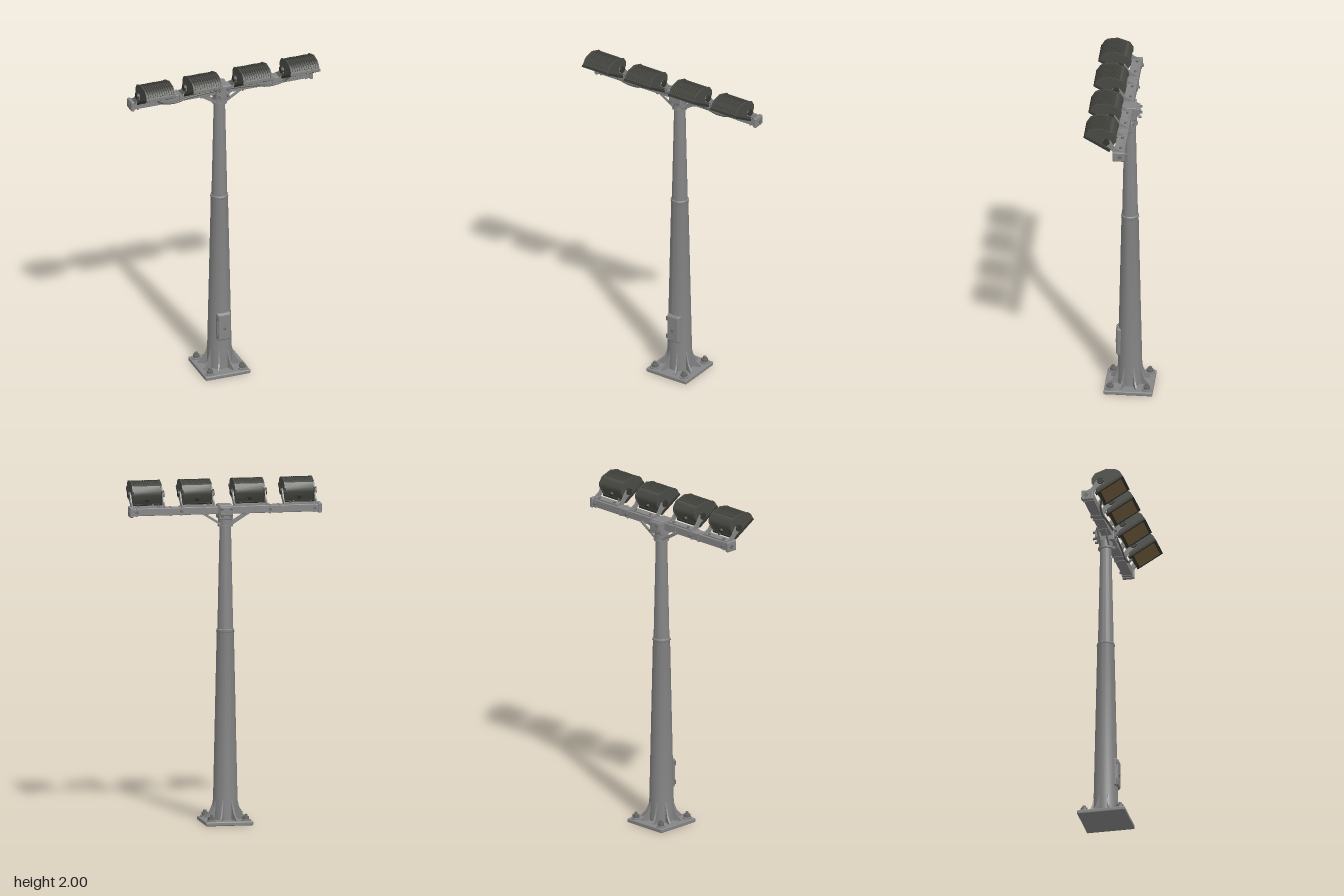
import * as THREE from 'three';
import { toCreasedNormals } from 'three/addons/utils/BufferGeometryUtils.js';
import { RoundedBoxGeometry } from 'three/addons/geometries/RoundedBoxGeometry.js';

const PZ = -0.037; // pole axis

export function createModel() {
  const mat = (name, color) => Object.assign(new THREE.MeshStandardMaterial({ color }), { name });
  const steel = mat('galvanised steel', 0x858585);
  const boltSteel = mat('bolt steel', 0x6c6c6b);
  const housing = mat('lamp housing', 0x4a4b45);
  const finMat = mat('lamp fins', 0x41423c);
  const bezelMat = mat('lamp bezel', 0x363731);
  const glassMat = mat('lamp glass', 0x7d6845);
  const cableMat = mat('cable', 0x5a5a58);

  const root = new THREE.Group();
  root.name = 'floodlightMast';
  const add = (parent, name, geo, m, x = 0, y = 0, z = 0) => {
    const mesh = new THREE.Mesh(geo, m);
    mesh.name = name;
    mesh.position.set(x, y, z);
    parent.add(mesh);
    return mesh;
  };
  const box = (w, h, d) => new THREE.BoxGeometry(w, h, d);
  const rbox = (w, h, d, r) => new RoundedBoxGeometry(w, h, d, 2, r);
  const cyl = (rt, rb, h, n = 32) => new THREE.CylinderGeometry(rt, rb, h, n);
  const group = (parent, name) => {
    const g = new THREE.Group();
    g.name = name;
    parent.add(g);
    return g;
  };
  // side profile given as [z, y] pairs, extruded along x and centred
  const sideExtrude = (pts, width) => {
    const shape = new THREE.Shape(pts.map(p => new THREE.Vector2(p[0], p[1])));
    const g = new THREE.ExtrudeGeometry(shape, { depth: width, bevelEnabled: false });
    g.translate(0, 0, -width / 2).rotateY(-Math.PI / 2);
    return g;
  };
  // round or square bar between two points
  const bar = (parent, name, a, b, geoFor, m) => {
    const dir = b.clone().sub(a);
    const mesh = add(parent, name, geoFor(dir.length()), m);
    mesh.position.copy(a).add(b).multiplyScalar(0.5);
    mesh.quaternion.setFromUnitVectors(new THREE.Vector3(0, 1, 0), dir.normalize());
    return mesh;
  };

  // Base plate, anchor bolts and gussets
  const base = group(root, 'base');
  add(base, 'basePlate', rbox(0.28, 0.024, 0.284, 0.006), steel, 0, 0.012, PZ);
  for (const sx of [-1, 1]) for (const sz of [-1, 1]) {
    const x = sx * 0.102, z = PZ + sz * 0.107;
    add(base, 'washer', cyl(0.027, 0.027, 0.008, 20), steel, x, 0.028, z);
    add(base, 'anchorNut', cyl(0.02, 0.02, 0.018, 6), boltSteel, x, 0.041, z);
    add(base, 'anchorStud', cyl(0.01, 0.01, 0.014, 12), boltSteel, x, 0.056, z);
  }
  const gusset = sideExtrude([[0.05, 0.02], [0.126, 0.02], [0.122, 0.035], [0.095, 0.065], [0.079, 0.105], [0.07, 0.145], [0.05, 0.145]], 0.009);
  for (let i = 0; i < 8; i++) {
    add(base, 'gusset', gusset, steel, 0, 0, PZ).rotation.y = (i + 0.5) * Math.PI / 4;
  }

  // Tapered pole in two sections with a stepped joint
  const profile = [[0, 0.02], [0.074, 0.02], [0.071, 0.15], [0.05, 1.12], [0.051, 1.122], [0.051, 1.136],
    [0.046, 1.14], [0.033, 1.75], [0, 1.75]].map(p => new THREE.Vector2(p[0], p[1]));
  add(root, 'pole', toCreasedNormals(new THREE.LatheGeometry(profile, 40), 0.5), steel, 0, 0, PZ);
  for (let i = 0; i < 16; i++) {
    const a = i / 16 * Math.PI * 2;
    add(root, 'jointRivet', new THREE.SphereGeometry(0.0035, 6, 5), boltSteel,
      Math.sin(a) * 0.051, 1.124, PZ + Math.cos(a) * 0.051);
  }

  // Service door
  const door = group(root, 'serviceDoor');
  add(door, 'doorFrame', rbox(0.086, 0.176, 0.04, 0.01), steel, 0.002, 0.298, 0.018);
  add(door, 'doorPanel', rbox(0.072, 0.162, 0.012, 0.005), steel, 0.002, 0.298, 0.037);
  add(door, 'doorLock', cyl(0.009, 0.009, 0.008, 16), boltSteel, 0.002, 0.288, 0.044).rotation.x = Math.PI / 2;
  for (const y of [0.24, 0.356]) add(door, 'hinge', cyl(0.005, 0.005, 0.025, 10), boltSteel, -0.04, y, 0.036);

  // Pole head: collar, clamp block and its bolts
  const head = group(root, 'poleHead');
  add(head, 'collar', cyl(0.041, 0.041, 0.05), steel, 0, 1.765, PZ);
  add(head, 'collarRim', cyl(0.045, 0.045, 0.01), steel, 0, 1.745, PZ);
  add(head, 'clampBlock', rbox(0.084, 0.084, 0.1, 0.006), steel, 0.002, 1.825, -0.03);
  add(head, 'backPlate', rbox(0.076, 0.05, 0.018, 0.004), steel, 0.002, 1.835, -0.086);
  for (const x of [-0.025, 0.029]) for (const y of [1.805, 1.845]) {
    add(head, 'clampBolt', cyl(0.008, 0.008, 0.018, 6), boltSteel, x, y, 0.025).rotation.x = Math.PI / 2;
    add(head, 'clampBolt', cyl(0.008, 0.008, 0.018, 6), boltSteel, x, y, -0.098).rotation.x = Math.PI / 2;
  }

  // Crossarm with end caps, bands, bolts and braces
  const arm = group(root, 'crossarm');
  add(arm, 'beam', rbox(1.12, 0.044, 0.06, 0.004), steel, 0, 1.835, -0.024);
  for (const s of [-1, 1]) {
    add(arm, 'endCap', rbox(0.022, 0.06, 0.072, 0.006), steel, s * 0.556, 1.835, -0.024);
    add(arm, 'endBolt', cyl(0.012, 0.012, 0.012, 6), boltSteel, s * 0.566, 1.835, -0.03).rotation.z = Math.PI / 2;
    for (const x of [0.13, 0.262, 0.32, 0.525]) {
      add(arm, 'band', box(0.01, 0.05, 0.066), steel, s * x, 1.835, -0.024);
    }
    for (const x of [0.262, 0.525]) {
      add(arm, 'beamBolt', cyl(0.009, 0.009, 0.018, 6), boltSteel, s * x, 1.835, -0.06).rotation.x = Math.PI / 2;
    }
    for (const z of [-0.06, -0.012]) {
      bar(arm, 'brace', new THREE.Vector3(s * 0.14, 1.822, z), new THREE.Vector3(s * 0.028, 1.752, z),
        l => box(0.012, l, 0.01), steel);
    }
    const path = new THREE.CatmullRomCurve3([[0.42, 1.87, 0.03], [0.385, 1.832, 0.016], [0.3, 1.815, 0.012],
      [0.21, 1.832, 0.012], [0.12, 1.84, 0.012], [0.04, 1.845, 0.014]].map(p => new THREE.Vector3(s * p[0], p[1], p[2])));
    add(arm, 'cable', new THREE.TubeGeometry(path, 32, 0.006, 8), cableMat);
  }

  // Shared lamp geometry; lamp space has the glass facing -y
  const body = toCreasedNormals(sideExtrude([[-0.08, 0], [-0.083, 0.068], [-0.072, 0.088], [-0.04, 0.105], [-0.01, 0.1],
    [0.032, 0.086], [0.07, 0.052], [0.08, 0.035], [0.082, 0]], 0.172), 0.6);
  const fin = sideExtrude([[-0.03, 0.09], [-0.02, 0.106], [0.032, 0.093], [0.075, 0.057], [0.086, 0.036],
    [0.086, 0.012], [0.07, 0.012], [0.03, 0.07]], 0.006);
  const sideCheek = sideExtrude([[-0.084, 0], [-0.087, 0.07], [-0.074, 0.092], [-0.04, 0.109], [0.032, 0.094],
    [0.078, 0.056], [0.087, 0.036], [0.087, 0]], 0.008);
  const rect = (w, h) => [[-w, -h], [w, -h], [w, h], [-w, h]].map(p => new THREE.Vector2(p[0], p[1]));
  const frame = new THREE.Shape(rect(0.093, 0.087));
  frame.holes.push(new THREE.Path(rect(0.079, 0.07).reverse()));
  const bezel = new THREE.ExtrudeGeometry(frame, { depth: 0.014, bevelEnabled: false }).rotateX(Math.PI / 2);
  const bracketLeg = sideExtrude([[-0.045, 1.855], [0.008, 1.855], [0.03, 1.885], [0.068, 1.91], [0.07, 1.935],
    [0.05, 1.945], [0.025, 1.93], [-0.005, 1.885], [-0.045, 1.864]], 0.008);

  // Four floodlights, each on a forked bracket
  for (const x of [-0.446, -0.153, 0.158, 0.453]) {
    const unit = group(root, 'floodlight');
    unit.position.x = x;
    add(unit, 'bracketFoot', box(0.196, 0.008, 0.045), steel, 0, 1.861, -0.02);
    for (const s of [-1, 1]) {
      add(unit, 'bracketLeg', bracketLeg, steel, s * 0.095, 0, 0);
      add(unit, 'pivotKnob', cyl(0.02, 0.02, 0.014, 16), bezelMat, s * 0.1, 1.925, 0.05).rotation.z = Math.PI / 2;
      add(unit, 'footBolt', cyl(0.008, 0.008, 0.01, 6), boltSteel, s * 0.06, 1.868, -0.03);
    }
    const lamp = group(unit, 'lamp');
    lamp.position.set(0, 1.907, 0.104);
    lamp.rotation.x = -0.53;
    add(lamp, 'lampBody', body, housing);
    for (const s of [-1, 1]) add(lamp, 'sideCheek', sideCheek, housing, s * 0.085, 0, 0);
    for (let i = 0; i < 11; i++) add(lamp, 'coolingFin', fin, finMat, (i - 5) * 0.0142, 0, 0);
    add(lamp, 'bezel', bezel, bezelMat, 0, 0.006, 0);
    add(lamp, 'glass', box(0.158, 0.006, 0.14), glassMat, 0, -0.002, 0);
    add(lamp, 'cableGland', cyl(0.012, 0.012, 0.02, 12), bezelMat, 0, 0.04, -0.087).rotation.x = Math.PI / 2;
  }
  return root;
}
